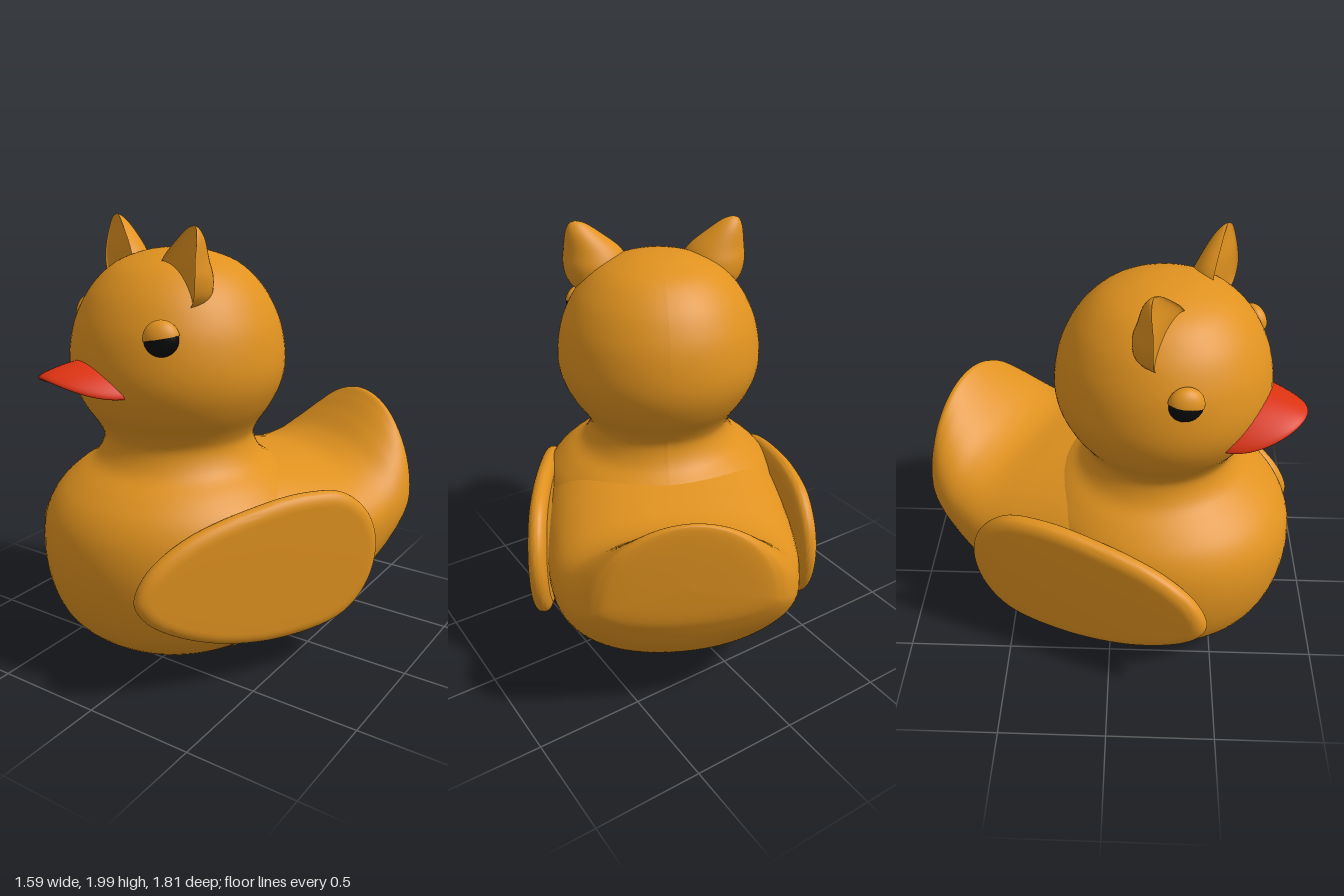
import * as THREE from 'three';
import { toCreasedNormals } from 'three/addons/utils/BufferGeometryUtils.js';

const material = (color) => new THREE.MeshStandardMaterial({ color });

// Smoothly interpolates a short table of stations; returns count + 1 rows.
function smoothRows(table, count) {
  const columns = table[0].map((_, k) => {
    const pts = table.map((row, i) => new THREE.Vector3(i, row[k], 0));
    return new THREE.CatmullRomCurve3(pts, false, 'catmullrom', 0.5);
  });
  return Array.from({ length: count + 1 }, (_, i) => columns.map((c) => c.getPoint(i / count).y));
}

// Surface through closed rings: point(row, angle) gives [x, y, z].
function loft(rows, sides, point) {
  const pos = [], index = [];
  rows.forEach((row, i) => {
    for (let j = 0; j < sides; j++) {
      pos.push(...point(row, (j / sides) * Math.PI * 2));
      if (i === 0) continue;
      const a = (i - 1) * sides + j, b = (i - 1) * sides + ((j + 1) % sides);
      index.push(a, a + sides, b, b, a + sides, b + sides);
    }
  });
  const g = new THREE.BufferGeometry();
  g.setAttribute('position', new THREE.Float32BufferAttribute(pos, 3));
  g.setIndex(index);
  g.computeVertexNormals();
  return g;
}

// Moves every vertex by a rule.
function reshape(geometry, rule) {
  const p = geometry.attributes.position;
  for (let i = 0; i < p.count; i++) p.setXYZ(i, ...rule(p.getX(i), p.getY(i), p.getZ(i)));
  geometry.computeVertexNormals();
  return geometry;
}

export function createModel() {
  const model = new THREE.Group();
  model.name = 'duck';
  const duck = new THREE.Group();
  duck.name = 'turnedDuck';
  duck.rotation.y = -0.45;
  duck.position.set(0.018, 0, 0.009);
  model.add(duck);

  const orange = material(0xe0921f), red = material(0xdd3311), black = material(0x0a0a0a);
  const add = (name, geometry, mat, parent = duck) => {
    const mesh = new THREE.Mesh(geometry, mat);
    mesh.name = name;
    parent.add(mesh);
    return mesh;
  };

  // Chest, neck and head turned as one profile, chest pushed a little forward
  const profile = [
    [0, 0.008], [0.2, 0.025], [0.37, 0.08], [0.515, 0.2], [0.585, 0.35], [0.61, 0.53],
    [0.595, 0.68], [0.55, 0.79], [0.475, 0.87], [0.385, 0.94], [0.345, 1.03], [0.365, 1.1],
    [0.43, 1.2], [0.473, 1.3], [0.485, 1.4], [0.468, 1.52], [0.432, 1.62], [0.37, 1.72],
    [0.27, 1.81], [0.13, 1.862], [0, 1.873],
  ].map(([x, y]) => new THREE.Vector2(x, y));
  const lathe = new THREE.SplineCurve(profile).getPoints(90);
  lathe.forEach((p) => { p.x = Math.max(p.x, 0); });
  const chest = reshape(new THREE.LatheGeometry(lathe, 72, Math.PI), (x, y, z) =>
    [x, y, z > 0 ? z * (1 + 0.06 * (1 - THREE.MathUtils.smoothstep(y, 0.65, 1))) : z]);
  add('headAndChest', chest, orange).position.z = 0.24;

  // Rear body sweeping up into the fan tail:
  // [z, half width, top, bottom, widest height, roundness]
  const bodyRows = smoothRows([
    [0.24, 0.606, 0.94, 0.01, 0.52, 0.8],
    [0, 0.605, 0.93, 0.015, 0.53, 0.82],
    [-0.25, 0.595, 0.885, 0.05, 0.55, 0.87],
    [-0.45, 0.573, 0.853, 0.125, 0.57, 0.9],
    [-0.59, 0.54, 0.89, 0.22, 0.59, 0.94],
    [-0.7, 0.505, 0.975, 0.33, 0.62, 0.98],
    [-0.78, 0.46, 1.05, 0.44, 0.65, 1],
    [-0.83, 0.4, 1.09, 0.55, 0.68, 1],
    [-0.853, 0.3, 1.05, 0.63, 0.72, 1],
    [-0.86, 0, 0.78, 0.78, 0.78, 1],
  ], 72);
  const power = (v, e) => Math.sign(v) * Math.abs(v) ** e;
  add('bodyAndTail', loft(bodyRows, 64, ([z, w, top, bottom, mid, e], a) => {
    const s = power(Math.sin(a), e);
    return [w * power(Math.cos(a), e), mid + s * (s > 0 ? top - mid : mid - bottom), z];
  }), orange);

  // Beak: a flattened ellipsoid narrowed to the front and bent into an arch
  const beak = reshape(new THREE.SphereGeometry(1, 48, 32), (x, y, z) => [
    0.02 + x * (0.25 - 0.04 * z),
    1.375 + y * (y > 0 ? 0.06 : 0.045) * (1.1 - 0.4 * z) - 0.085 * x * x + 0.02 * x,
    0.635 + z * 0.262,
  ]);
  add('beak', beak, red);

  // Wing outline, nose forward along +x
  const outline = new THREE.CatmullRomCurve3([
    [0.585, 0.51], [0.53, 0.63], [0.35, 0.755], [0, 0.85], [-0.22, 0.87], [-0.4, 0.84],
    [-0.53, 0.72], [-0.575, 0.56], [-0.53, 0.38], [-0.4, 0.25], [-0.12, 0.2], [0.18, 0.235],
    [0.41, 0.325], [0.54, 0.42],
  ].map(([x, y]) => new THREE.Vector3(x, y, 0)), true).getPoints(80);
  outline.pop();
  const wing = new THREE.ExtrudeGeometry(new THREE.Shape(outline), {
    depth: 0.006, bevelThickness: 0.04, bevelSize: 0.06, bevelOffset: -0.06, bevelSegments: 8,
  });
  wing.translate(0, 0, -0.003);
  const wingGeometry = toCreasedNormals(wing, 0.7);

  // Ear rings: [height, centre x, half width, depth, front z]
  const earRows = smoothRows([
    [1.65, 0.25, 0.09, 0.1, 0.37],
    [1.71, 0.272, 0.14, 0.145, 0.385],
    [1.79, 0.282, 0.153, 0.15, 0.39],
    [1.86, 0.295, 0.134, 0.12, 0.385],
    [1.94, 0.337, 0.08, 0.072, 0.37],
    [1.985, 0.36, 0.038, 0.03, 0.36],
    [2.0, 0.367, 0, 0, 0.352],
  ], 24);

  for (const side of [-1, 1]) {
    const label = side > 0 ? 'left' : 'right';

    const wingMesh = add(label + 'Wing', wingGeometry, orange);
    wingMesh.position.set(side * 0.58, 0, 0.15);
    wingMesh.rotation.y = -Math.PI / 2 - side * 0.105;

    // Round at the back, hollowed at the front
    const ear = loft(earRows, 36, ([y, cx, w, d, front], a) => {
      const s = Math.sin(a);
      return [side * cx - w * Math.cos(a), y, front - d * (s > 0 ? s : -0.2 * s)];
    });
    add(label + 'Ear', toCreasedNormals(ear, 0.8), orange);

    // Eyeball with a heavy upper lid, lower at the inner corner
    const eye = new THREE.Group();
    eye.name = label + 'Eye';
    eye.position.set(side * 0.372, 1.56, 0.51);
    eye.rotation.y = side * 0.945;
    duck.add(eye);
    add(label + 'Eyeball', new THREE.SphereGeometry(1, 32, 24), black, eye).scale.set(0.072, 0.072, 0.046);
    const lid = add(label + 'Eyelid',
      new THREE.SphereGeometry(1, 32, 16, 0, Math.PI * 2, 0, Math.PI / 2), orange.clone(), eye);
    lid.scale.set(0.076, 0.076, 0.05);
    lid.position.y = 0.004;
    lid.rotation.set(-0.15, 0, side * 0.18);
    lid.material.side = THREE.DoubleSide;
  }
  return model;
}
